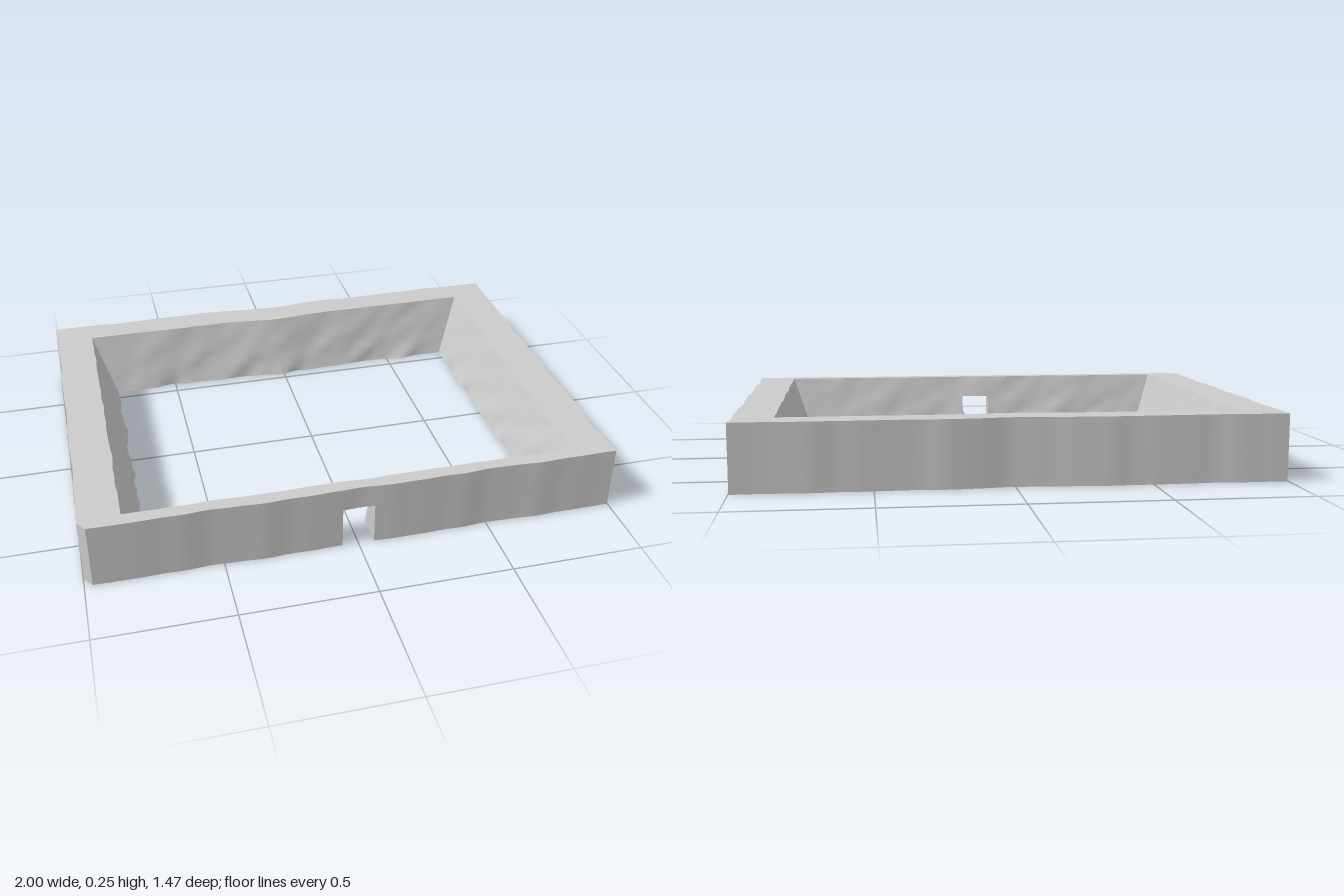
import * as THREE from 'three';

const H = 0.25, COLS = 64;
const ROWS = [0, 0.04, 0.08, 0.12, 0.16, 0.205, H];
const DOOR = { half: 0.06, top: 0.16, first: 30, last: 34 };

// Corners as [x, z], front edge first; the last short edge chamfers one front corner
const OUTER = [[-0.97, 0.728], [0.998, 0.728], [0.998, -0.735], [-0.998, -0.735], [-0.998, 0.69]];
const INNER_TOP = [[-0.845, 0.675], [0.845, 0.675], [0.845, -0.62], [-0.845, -0.62], [-0.845, 0.675]];
const INNER_LOW = [[-0.76, 0.612], [0.76, 0.612], [0.76, -0.552], [-0.76, -0.552], [-0.76, 0.612]];
const OUTWARD = [[0, 1], [1, 0], [0, -1], [-1, 0], [-0.7, 0.7]];
const NAMES = ['front', 'left', 'back', 'right', 'chamfer'];

const material = new THREE.MeshStandardMaterial({ color: 0xcccccc, side: THREE.DoubleSide });
const lerp = THREE.MathUtils.lerp;

// Uneven stone: a few sine waves, fading out at the corners
const ripple = (s, k) => 0.5 * Math.sin(s * 23 + k * 2.1) + 0.3 * Math.sin(s * 47 + k * 4.3) + 0.2 * Math.sin(s * 83 + k);
const bumps = (s, y, k) =>
  0.55 * ripple(s + y * 0.5, k) + 0.3 * Math.sin(s * 31 + y * 48 + k) + 0.25 * Math.sin(s * 67 - y * 70 + k * 3);

// Point on one side of a ring, pushed outward by offset
function sidePoint(ringA, ringB, t, side, col, offset) {
  const next = (side + 1) % 5, u = col / COLS;
  const at = (i, j) => lerp(ringA[i][j], ringB[i][j], t);
  let x = lerp(at(side, 0), at(next, 0), u);
  let z = lerp(at(side, 1), at(next, 1), u);
  // columns at the doorway line up between both faces
  if (side === 0 && col >= DOOR.first && col <= DOOR.last) x = (col - 32) * DOOR.half / 2;
  const fade = side === 4 ? 0 : Math.min(1, 10 * u * (1 - u));
  // shallow dip in the middle of the back wall
  const dip = side === 2 ? -0.018 * Math.exp(-((x / 0.13) ** 2)) : 0;
  const d = offset * fade + dip;
  return [x + OUTWARD[side][0] * d, z + OUTWARD[side][1] * d];
}

function outerPoint(side, col, y) {
  const [x, z] = sidePoint(OUTER, OUTER, 0, side, col, 0.006 * ripple(col / COLS, side) - (side % 2 ? 0.006 : 0));
  return [x, y, z];
}

function innerPoint(side, col, y) {
  const t = y / H;
  const amp = lerp(0.012, 0.004, t);
  const [x, z] = sidePoint(INNER_LOW, INNER_TOP, t, side, col, amp * bumps(col / COLS, y, side + 5));
  return [x, y, z];
}

// Grid surface from a point rule, with optional cells left out
function sheet(name, nu, nv, point, skip = () => false) {
  const pos = [], index = [];
  for (let j = 0; j <= nv; j++) for (let i = 0; i <= nu; i++) pos.push(...point(i, j));
  for (let j = 0; j < nv; j++) {
    for (let i = 0; i < nu; i++) {
      if (skip(i, j)) continue;
      const a = j * (nu + 1) + i, b = a + 1, c = a + nu + 1, d = c + 1;
      index.push(a, b, d, a, d, c);
    }
  }
  const g = new THREE.BufferGeometry();
  g.setAttribute('position', new THREE.Float32BufferAttribute(pos, 3));
  g.setIndex(index);
  g.computeVertexNormals();
  const mesh = new THREE.Mesh(g, material);
  mesh.name = name;
  return mesh;
}

export function createModel() {
  const group = new THREE.Group();
  group.name = 'wallEnclosure';
  const n = ROWS.length - 1;
  const inDoor = (side, i, y) => side === 0 && i >= DOOR.first && i < DOOR.last && y < DOOR.top;

  for (let side = 0; side < 5; side++) {
    const wall = new THREE.Group();
    wall.name = NAMES[side] + 'Wall';
    // upright outer face
    wall.add(sheet('outerFace', COLS, n, (i, j) => outerPoint(side, i, ROWS[j]),
      (i, j) => inDoor(side, i, ROWS[j])));
    // flat top
    wall.add(sheet('topFace', COLS, 1, (i, j) => (j ? innerPoint : outerPoint)(side, i, H)));
    // rough sloping inner face, open underneath
    if (side < 4) {
      wall.add(sheet('innerFace', COLS, n, (i, j) => innerPoint(side, i, ROWS[n - j]),
        (i, j) => inDoor(side, i, ROWS[n - j - 1])));
    }
    group.add(wall);
  }

  // Doorway passage through the front wall
  const door = new THREE.Group();
  door.name = 'doorway';
  const across = (j, col, y) => (j ? innerPoint : outerPoint)(0, col, y);
  door.add(
    sheet('doorCeiling', 4, 1, (i, j) => across(1 - j, DOOR.first + i, DOOR.top)),
    sheet('doorRightJamb', 4, 1, (i, j) => across(1 - j, DOOR.first, ROWS[4 - i])),
    sheet('doorLeftJamb', 4, 1, (i, j) => across(1 - j, DOOR.last, ROWS[i])),
  );
  group.add(door);
  return group;
}
